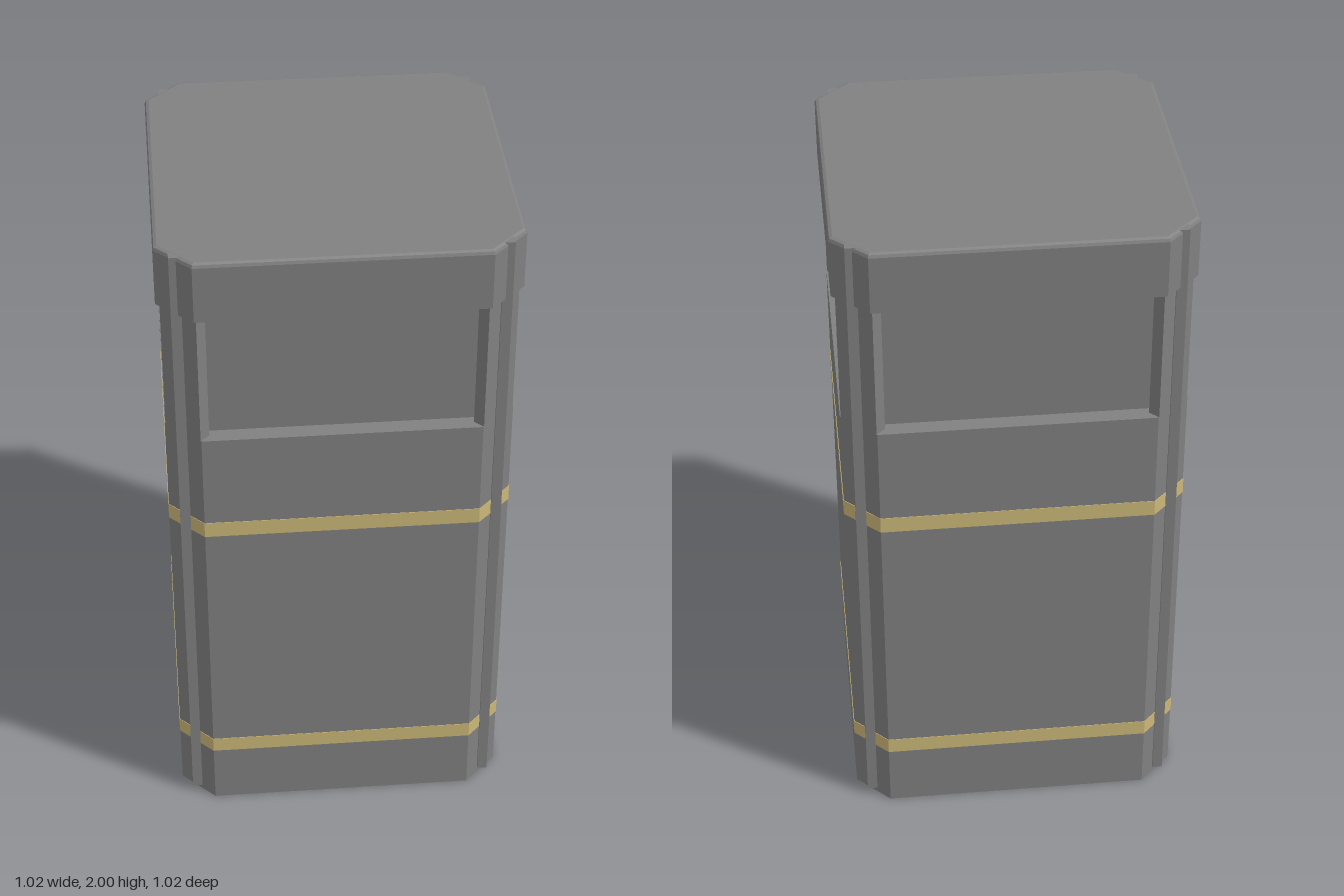
import * as THREE from 'three';

const grey = new THREE.MeshStandardMaterial({ color: 0x808080, flatShading: true });
const tan = new THREE.MeshStandardMaterial({ color: 0xccb878, flatShading: true });

// Chamfered square: half = half width, flat = half length of each straight side
const outline = (half, flat) => [
  [half, -flat], [half, flat], [flat, half], [-flat, half],
  [-half, flat], [-half, -flat], [-flat, -half], [flat, -half],
].map(([x, y]) => new THREE.Vector2(x, y));

// Upright prism from y0 to y1, optionally hollow, optionally bevelled
function prism(name, outer, inner, y0, y1, material, bevel = 0) {
  const shape = new THREE.Shape(outer);
  if (inner) shape.holes.push(new THREE.Path(inner));
  const geometry = new THREE.ExtrudeGeometry(shape, {
    depth: y1 - y0 - 2 * bevel, bevelEnabled: bevel > 0, bevelThickness: bevel,
    bevelSize: bevel, bevelOffset: -bevel, bevelSegments: 2,
  });
  geometry.rotateX(-Math.PI / 2).translate(0, y0 + bevel, 0);
  const mesh = new THREE.Mesh(geometry, material);
  mesh.name = name;
  return mesh;
}

export function createModel() {
  const model = new THREE.Group();
  model.name = 'litterBin';

  // Outer casing and the recessed core with a raised floor
  const core = outline(0.45, 0.405);
  model.add(prism('casing', outline(0.5, 0.4), core, 0, 1.405, grey));
  model.add(prism('innerCore', core, null, 0.03, 1.83, grey));

  // Lid: square lower rim, softly bevelled upper edge
  const lidOutline = outline(0.51, 0.408);
  model.add(prism('lidRim', lidOutline, null, 1.815, 1.95, grey));
  model.add(prism('lidTop', lidOutline, null, 1.9, 2, grey, 0.012));

  // Coloured bands around the casing
  for (const y of [0.2, 1.06]) {
    model.add(prism('band', outline(0.5015, 0.4006), outline(0.495, 0.398), y, y + 0.05, tan));
  }

  // Corner posts beside the openings and square corner strips
  for (const sx of [-1, 1]) {
    for (const sz of [-1, 1]) {
      const post = new THREE.Mesh(new THREE.BoxGeometry(0.136, 0.43, 0.036), grey);
      const reach = 0.45 - 0.018 * Math.SQRT1_2;
      post.position.set(sx * reach, 1.61, sz * reach);
      post.rotation.y = Math.atan2(sx, sz);
      post.name = 'cornerPost';

      const strip = new THREE.Mesh(new THREE.BoxGeometry(0.03, 1.977, 0.03), grey);
      strip.position.set(sx * 0.454, 1.0105, sz * 0.454);
      strip.name = 'cornerStrip';
      model.add(post, strip);
    }
  }
  return model;
}
